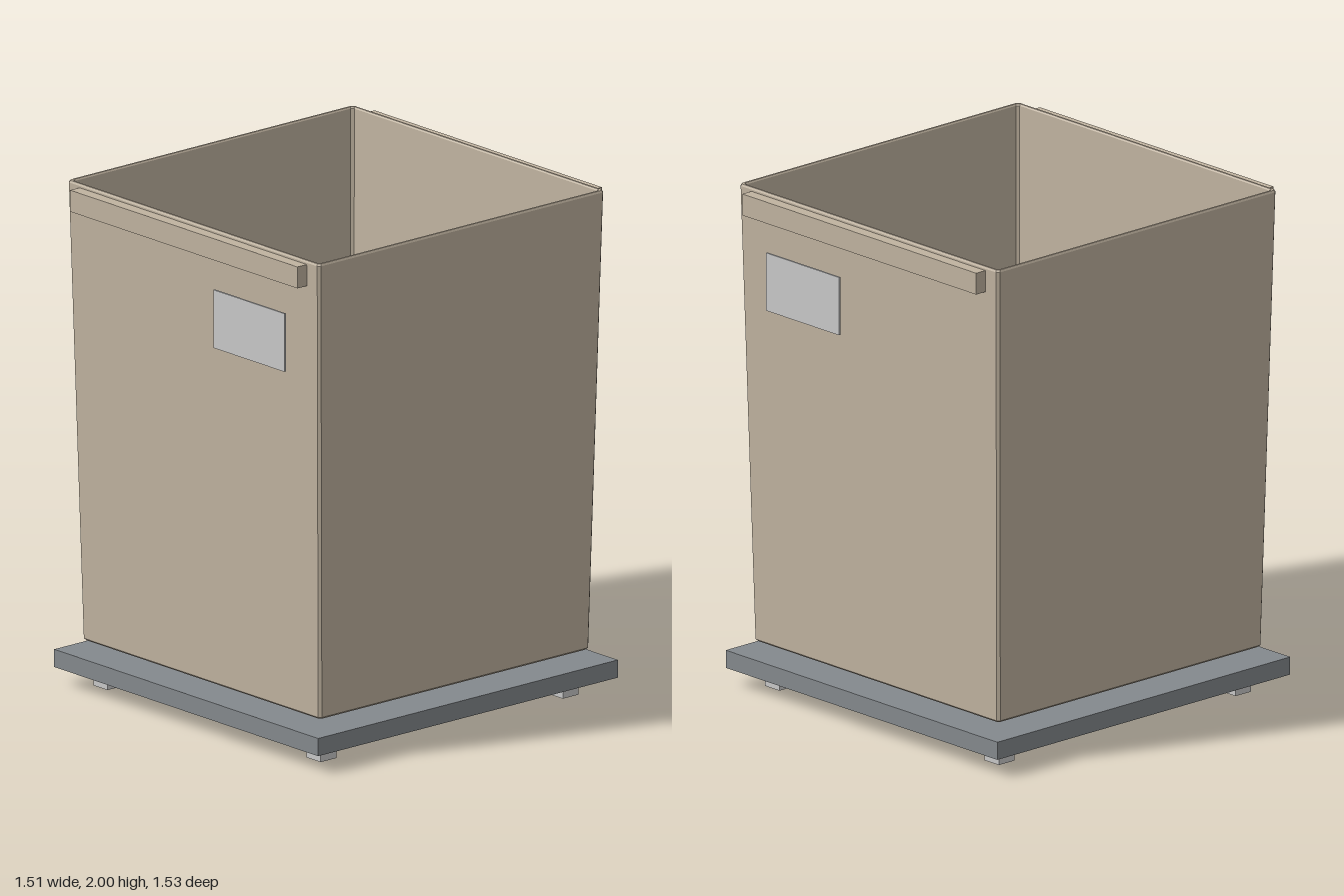
import * as THREE from 'three';

const mat = (name, color) => new THREE.MeshStandardMaterial({ name, color });

// Square outline with small chamfered corners, counter-clockwise seen from above
function ring(y, h, c = 0.01) {
  const k = h - c;
  return [[h, k], [h, -k], [k, -h], [-k, -h], [-h, -k], [-h, k], [-k, h], [k, h]]
    .map(([x, z]) => [x, y, z]);
}

// Skin joining successive rings, closed at both ends by flat caps
function loft(rings) {
  const pos = [];
  const tri = (a, b, c) => pos.push(...a, ...b, ...c);
  for (let r = 0; r < rings.length - 1; r++) {
    const a = rings[r], b = rings[r + 1];
    for (let i = 0; i < 8; i++) {
      const j = (i + 1) % 8;
      tri(a[i], a[j], b[j]);
      tri(a[i], b[j], b[i]);
    }
  }
  const first = rings[0], last = rings[rings.length - 1];
  for (let i = 1; i < 7; i++) {
    tri(first[0], first[i + 1], first[i]);
    tri(last[0], last[i], last[i + 1]);
  }
  const g = new THREE.BufferGeometry();
  g.setAttribute('position', new THREE.Float32BufferAttribute(pos, 3));
  g.computeVertexNormals();
  return g;
}

export function createModel() {
  const group = new THREE.Group();
  const body = mat('beige plastic', 0xc0b3a0);
  const grey = mat('dark grey base', 0x84898d);
  const light = mat('light grey', 0xc8c8c8);

  const add = (name, geometry, material, x = 0, y = 0, z = 0) => {
    const m = new THREE.Mesh(geometry, material);
    m.name = name;
    m.position.set(x, y, z);
    group.add(m);
  };
  const box = (name, material, w, h, d, x, y, z) =>
    add(name, new THREE.BoxGeometry(w, h, d), material, x, y, z);

  // Tapered open bin: up the outside, over the rim, down the inside to the floor
  add('bin', loft([
    ring(0.18, 0.672), ring(0.188, 0.68),
    ring(1.992, 0.72), ring(2, 0.716),
    ring(2, 0.708), ring(1.994, 0.704),
    ring(0.21, 0.664), ring(0.202, 0.655),
  ]), body);

  // Grip rails and label plates on front and back
  for (const s of [1, -1]) {
    const side = s > 0 ? 'front' : 'back';
    box(side + 'Rail', body, 1.3, 0.085, 0.05, 0, 1.9425, s * 0.742);
    box(side + 'Label', light, 0.405, 0.23, 0.008, 0.343, 1.655, s * 0.737);
  }

  // Base plate and feet
  box('basePlate', grey, 1.51, 0.07, 1.51, 0, 0.105, 0);
  for (const x of [-0.61, 0.61])
    for (const z of [-0.61, 0.61])
      box('foot', light, 0.08, 0.07, 0.08, x, 0.035, z);

  return group;
}
